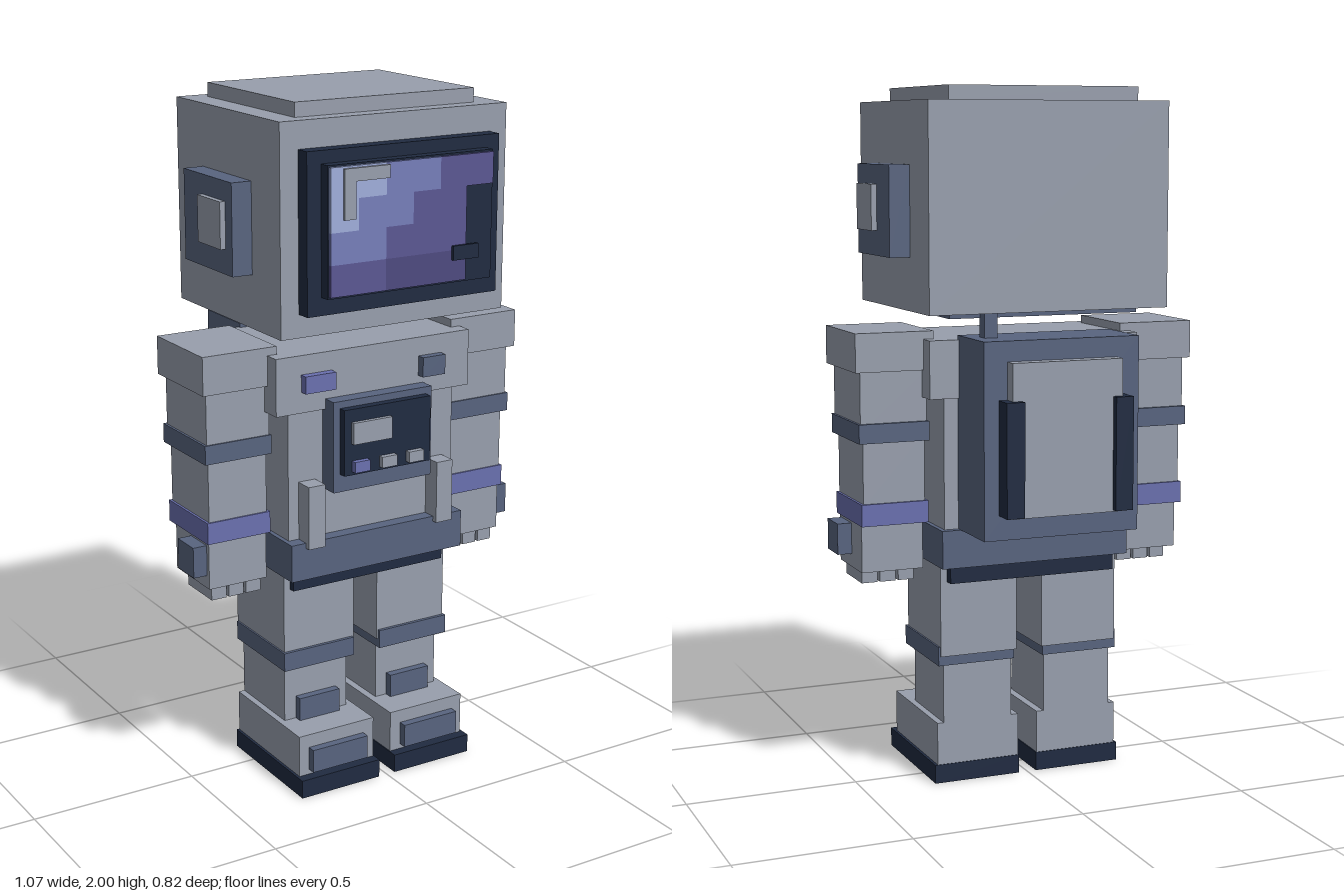
import * as THREE from 'three';

const material = (name, color) => {
  const m = new THREE.MeshStandardMaterial({ color });
  m.name = name;
  return m;
};

export function createModel() {
  const suit = material('suit grey', 0x989fad);
  const slate = material('slate blue', 0x58647f);
  const navy = material('dark navy', 0x202b41);
  const lilac = material('lilac accent', 0x6a70af);
  const glassLight = material('glass light blue', 0xa0aedb);
  const glassMid = material('glass periwinkle', 0x767eba);
  const glassPurple = material('glass purple', 0x5b5793);
  const glassDeep = material('glass deep purple', 0x4e4a80);

  const root = new THREE.Group();
  root.name = 'astronaut';
  const group = (name) => {
    const g = new THREE.Group();
    g.name = name;
    root.add(g);
    return g;
  };
  // Box given by its limits on each axis
  const box = (parent, name, mat, [x0, x1], [y0, y1], [z0, z1]) => {
    const mesh = new THREE.Mesh(new THREE.BoxGeometry(x1 - x0, y1 - y0, z1 - z0), mat);
    mesh.position.set((x0 + x1) / 2, (y0 + y1) / 2, (z0 + z1) / 2);
    mesh.name = name;
    parent.add(mesh);
  };
  // Same box on either side; s = 1 is the model's left
  const sided = (parent, s) => (name, mat, [x0, x1], y, z) =>
    box(parent, name, mat, s > 0 ? [x0, x1] : [-x1, -x0], y, z);

  // Helmet
  const head = group('helmet');
  box(head, 'helmetShell', suit, [-0.36, 0.36], [1.38, 1.96], [-0.27, 0.31]);
  box(head, 'helmetTop', suit, [-0.285, 0.285], [1.96, 2.0], [-0.225, 0.26]);
  box(head, 'neckPlate', slate, [-0.285, 0.285], [1.365, 1.38], [-0.225, 0.26]);
  box(head, 'visorFrame', navy, [-0.305, 0.305], [1.445, 1.885], [0.31, 0.355]);
  box(head, 'visorBack', navy, [-0.262, 0.262], [1.495, 1.85], [0.355, 0.388]);

  // Visor mosaic, top row first
  const shades = { L: glassLight, M: glassMid, P: glassPurple, D: glassDeep };
  const tw = 0.086, th = 0.086;
  ['LLMMPP', 'LMMPP.', 'MMPPP.', 'PPDDD.'].forEach((row, r) => {
    [...row].forEach((c, i) => {
      if (!shades[c]) return;
      const x = -0.258 + i * tw, y = 1.845 - r * th;
      box(head, 'visorTile', shades[c], [x, x + tw], [y - th, y], [0.388, 0.397]);
    });
  });
  box(head, 'glintAcross', suit, [-0.22, -0.08], [1.805, 1.84], [0.397, 0.406]);
  box(head, 'glintDown', suit, [-0.22, -0.185], [1.705, 1.805], [0.397, 0.406]);
  box(head, 'visorMark', navy, [0.125, 0.208], [1.56, 1.6], [0.397, 0.406]);

  // Torso
  const torso = group('torso');
  box(torso, 'body', suit, [-0.275, 0.275], [0.76, 1.2], [-0.15, 0.195]);
  box(torso, 'yoke', suit, [-0.32, 0.32], [1.135, 1.3], [-0.16, 0.21]);
  box(torso, 'belt', slate, [-0.288, 0.288], [0.65, 0.76], [-0.17, 0.235]);
  box(torso, 'hips', navy, [-0.255, 0.255], [0.6, 0.65], [-0.145, 0.185]);
  box(torso, 'chestBadgeRight', lilac, [-0.24, -0.142], [1.195, 1.245], [0.21, 0.235]);
  box(torso, 'chestBadgeLeft', slate, [0.147, 0.223], [1.187, 1.245], [0.21, 0.235]);

  // Control panel
  const panel = group('controlPanel');
  box(panel, 'panelCase', slate, [-0.163, 0.163], [0.9, 1.165], [0.195, 0.255]);
  box(panel, 'panelFace', navy, [-0.143, 0.143], [0.953, 1.145], [0.255, 0.28]);
  box(panel, 'panelScreen', suit, [-0.12, 0.007], [1.045, 1.108], [0.28, 0.293]);
  [-0.118, -0.028, 0.062].forEach((x, i) =>
    box(panel, 'panelButton', i ? suit : lilac, [x, x + 0.05], [0.963, 0.995], [0.28, 0.297]));

  // Backpack
  const pack = group('backpack');
  box(pack, 'packCase', slate, [-0.233, 0.233], [0.76, 1.312], [-0.35, -0.15]);
  box(pack, 'packPlate', suit, [-0.165, 0.165], [0.825, 1.255], [-0.39, -0.35]);
  box(pack, 'antenna', slate, [0.157, 0.195], [1.312, 1.38], [-0.26, -0.222]);

  for (const s of [1, -1]) {
    const side = s > 0 ? 'left' : 'right';

    const put = sided(root, s);
    put('earPad', slate, [0.36, 0.42], [1.53, 1.785], [-0.118, 0.157]);
    put('earCap', suit, [0.42, 0.436], [1.6, 1.73], [-0.01, 0.12]);
    put('chestStrap', suit, [0.188, 0.242], [0.745, 0.93], [0.195, 0.252]);
    put('packBar', navy, [0.137, 0.19], [0.83, 1.15], [-0.41, -0.35]);

    // Arm
    const arm = sided(group(side + 'Arm'), s);
    arm('shoulder', suit, [0.29, 0.52], [1.213, 1.323], [-0.11, 0.163]);
    arm('upperArm', suit, [0.307, 0.503], [1.04, 1.213], [-0.095, 0.145]);
    arm('elbowBand', slate, [0.302, 0.51], [1.012, 1.067], [-0.105, 0.15]);
    arm('forearm', suit, [0.312, 0.495], [0.83, 1.03], [-0.09, 0.135]);
    arm('wristBand', lilac, [0.303, 0.502], [0.775, 0.838], [-0.097, 0.14]);
    arm('hand', suit, [0.312, 0.495], [0.637, 0.78], [-0.07, 0.13]);
    arm('handPlate', slate, [0.495, 0.537], [0.675, 0.765], [0.023, 0.117]);
    for (let i = 0; i < 3; i++) {
      const x = 0.325 + i * 0.055;
      arm('finger', suit, [x, x + 0.047], [0.597, 0.637], [-0.027, 0.117]);
    }

    // Leg and boot
    const leg = sided(group(side + 'Leg'), s);
    leg('thigh', suit, [0.04, 0.275], [0.38, 0.645], [-0.115, 0.165]);
    leg('kneeBand', slate, [0.045, 0.28], [0.352, 0.408], [-0.11, 0.175]);
    leg('shin', suit, [0.052, 0.263], [0.18, 0.38], [-0.103, 0.143]);
    leg('shinPlate', slate, [0.09, 0.225], [0.18, 0.25], [0.143, 0.167]);
    leg('boot', suit, [0.03, 0.282], [0.055, 0.18], [-0.103, 0.26]);
    leg('toePlate', slate, [0.065, 0.25], [0.07, 0.14], [0.26, 0.285]);
    leg('sole', navy, [0.027, 0.29], [0, 0.055], [-0.105, 0.29]);
  }
  return root;
}
